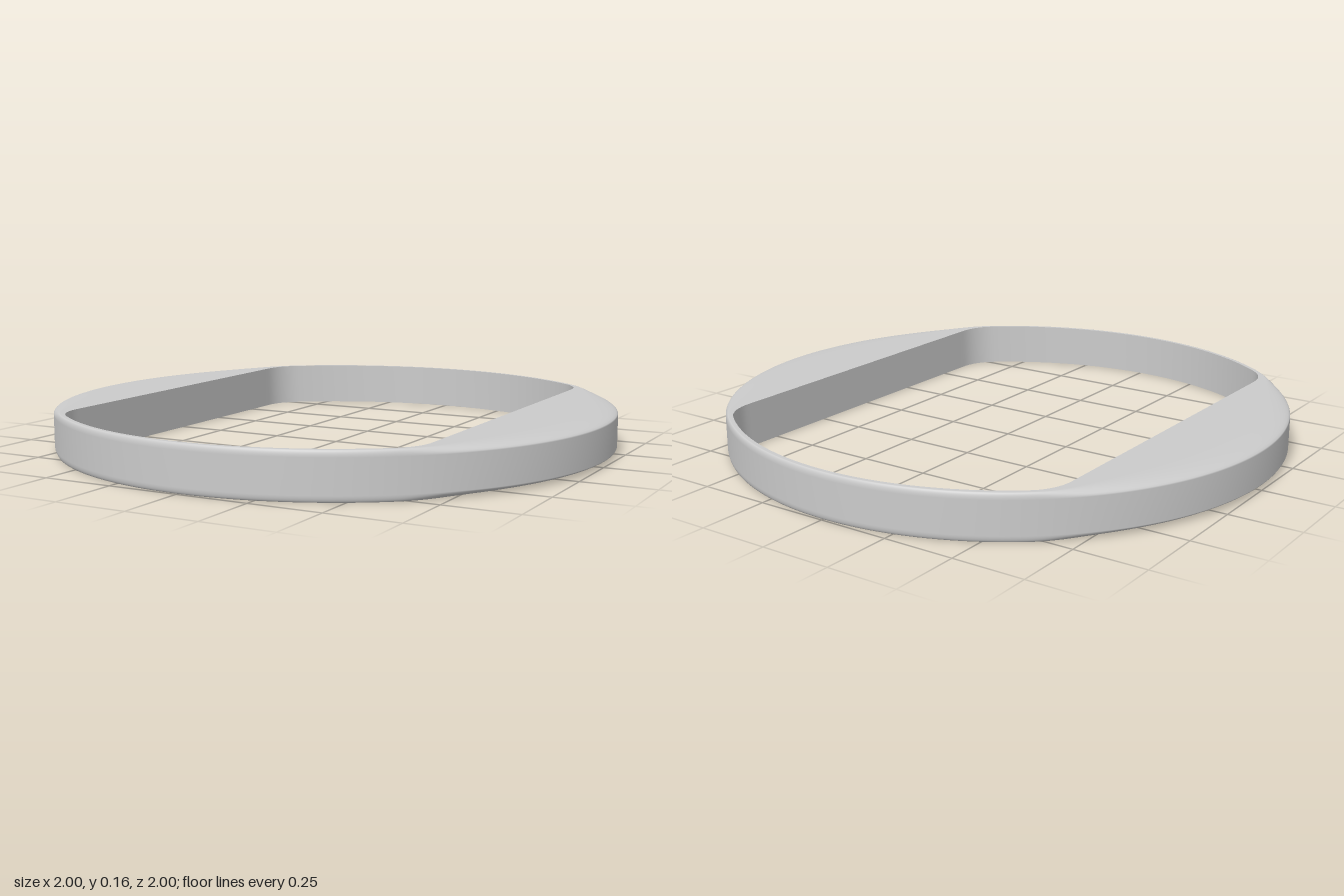
import * as THREE from 'three';

const HEIGHT = 0.157;
const FLAT = 0.67;      // half distance between the straight inner sides
const INNER = 0.978;    // inner radius of the thin wall
const FILLET = 0.17;    // rounding of the opening's corners
const SEGMENTS = 360;

// Corner centre of the opening in the first quadrant
const CX = FLAT - FILLET;
const CZ = Math.sqrt((INNER - FILLET) ** 2 - CX ** 2);

// Distance from the centre to the opening's edge at an angle
function openingRadius(angle) {
  const c = Math.abs(Math.cos(angle)), s = Math.abs(Math.sin(angle));
  const a = Math.atan2(s, c);
  if (a <= Math.atan2(CZ, FLAT)) return FLAT / c;
  if (a >= Math.atan2(CZ, CX)) return INNER;
  const along = CX * c + CZ * s;
  return along + Math.sqrt(along ** 2 - CX ** 2 - CZ ** 2 + FILLET ** 2);
}

// Outer skin: top face, rounded rim and bottom face, as [radius, y] points
function outerProfile(inner) {
  const width = (1 - inner) * 0.4, drop = 0.022, steps = 8;
  const top = [[inner, HEIGHT]];
  for (let i = 0; i <= steps; i++) {
    const t = (i / steps) * Math.PI / 2;
    top.push([1 - width + width * Math.sin(t), HEIGHT - drop + drop * Math.cos(t)]);
  }
  return [...top, ...top.map(([r, y]) => [r, HEIGHT - y]).reverse()];
}

const innerProfile = (inner) => [[inner, 0], [inner, HEIGHT]];

// Sweeps an angle-dependent profile around the vertical axis
function sweep(profileAt) {
  const positions = [], indices = [];
  let count = 0;
  for (let i = 0; i < SEGMENTS; i++) {
    const angle = (i / SEGMENTS) * Math.PI * 2;
    const profile = profileAt(openingRadius(angle));
    count = profile.length;
    for (const [r, y] of profile) positions.push(r * Math.cos(angle), y, r * Math.sin(angle));
  }
  for (let i = 0; i < SEGMENTS; i++) {
    for (let j = 0; j < count - 1; j++) {
      const a = i * count + j, b = ((i + 1) % SEGMENTS) * count + j;
      indices.push(a, b, a + 1, b, b + 1, a + 1);
    }
  }
  const geometry = new THREE.BufferGeometry();
  geometry.setAttribute('position', new THREE.Float32BufferAttribute(positions, 3));
  geometry.setIndex(indices);
  geometry.computeVertexNormals();
  return geometry;
}

export function createModel() {
  const group = new THREE.Group();
  group.name = 'ring';
  const material = new THREE.MeshStandardMaterial({ color: 0xcccccc });
  const add = (name, profile) => {
    const mesh = new THREE.Mesh(sweep(profile), material);
    mesh.name = name;
    group.add(mesh);
  };
  add('outerBody', outerProfile);
  add('innerWall', innerProfile);
  return group;
}
